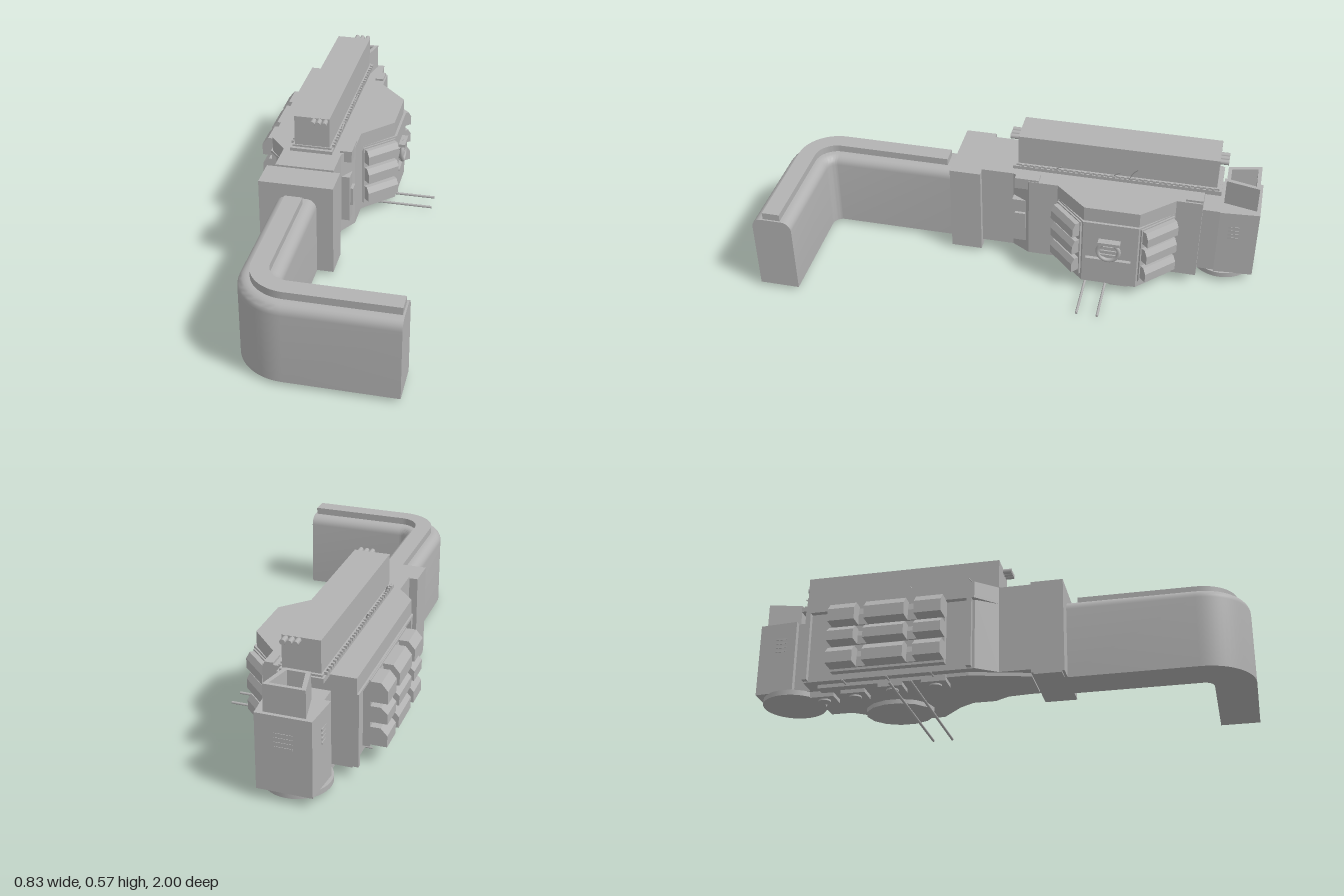
import * as THREE from 'three';
import { toCreasedNormals } from 'three/addons/utils/BufferGeometryUtils.js';

const hull = new THREE.MeshStandardMaterial({ color: 0xb2b2b2, side: THREE.DoubleSide });
hull.name = 'hull grey';

export function createModel() {
  const root = new THREE.Group();

  const add = (name, geo, parent = root) => {
    const m = new THREE.Mesh(geo, hull);
    m.name = name;
    parent.add(m);
    return m;
  };
  // Box given by its limits on each axis
  const box = (name, x0, x1, y0, y1, z0, z1, parent = root) => {
    const m = add(name, new THREE.BoxGeometry(x1 - x0, y1 - y0, z1 - z0), parent);
    m.position.set((x0 + x1) / 2, (y0 + y1) / 2, (z0 + z1) / 2);
    return m;
  };
  // Floor plan of [x, z] points raised from y0 to y1
  const outline = (pts) => pts.map(([x, z]) => new THREE.Vector2(x, -z));
  const slab = (name, pts, y0, y1, hole) => {
    const s = new THREE.Shape(outline(pts));
    if (hole) s.holes.push(new THREE.Path(outline(hole)));
    const g = new THREE.ExtrudeGeometry(s, { depth: y1 - y0, bevelEnabled: false });
    g.rotateX(-Math.PI / 2);
    g.translate(0, y0, 0);
    return add(name, g);
  };
  const cyl = (name, r, len, x, y, z, axis, sides = 24, parent = root) => {
    const g = new THREE.CylinderGeometry(r, r, len, sides);
    if (axis === 'x') g.rotateZ(Math.PI / 2);
    if (axis === 'z') g.rotateX(Math.PI / 2);
    const m = add(name, g, parent);
    m.position.set(x, y, z);
    return m;
  };

  // Sweep of a convex [offset, y] profile along the L-shaped corridor
  const sweep = (name, profile, zStart, xEnd) => {
    const st = [[-0.145, zStart, -1, 0]];
    for (let i = 0; i <= 16; i++) {
      const t = (i / 16) * Math.PI / 2, c = -Math.cos(t), s = Math.sin(t);
      st.push([-0.02 + 0.125 * c, 0.79 + 0.125 * s, c, s]);
    }
    st.push([xEnd, 0.915, 0, 1]);
    const n = profile.length, pos = [], idx = [];
    st.forEach(([x, z, nx, nz]) => profile.forEach(([u, y]) => pos.push(x + nx * u, y, z + nz * u)));
    for (let i = 0; i < st.length - 1; i++) {
      for (let j = 0; j < n; j++) {
        const k = (j + 1) % n, a = i * n + j, b = i * n + k;
        idx.push(a, a + n, b + n, a, b + n, b);
      }
    }
    const e = (st.length - 1) * n;
    for (let j = 1; j < n - 1; j++) idx.push(0, j, j + 1, e, e + j + 1, e + j);
    const g = new THREE.BufferGeometry();
    g.setAttribute('position', new THREE.Float32BufferAttribute(pos, 3));
    g.setIndex(idx);
    add(name, toCreasedNormals(g, 0.6));
  };

  // Corridor with rounded shoulders and a raised roof strip
  const prof = [[-0.082, 0.015], [0.082, 0.015]];
  for (let i = 0; i <= 12; i++) {
    const t = (i / 12) * Math.PI, c = Math.cos(t);
    const side = i < 6 ? 1 : -1;
    if (i === 6) prof.push([0.042, 0.35], [-0.042, 0.35]);
    else prof.push([side * 0.042 + 0.04 * c, 0.31 + 0.04 * Math.sin(t)]);
  }
  sweep('corridor', prof, 0.27, 0.415);
  sweep('corridorRoofStrip', [[-0.036, 0.34], [0.036, 0.34], [0.036, 0.38], [-0.036, 0.38]], 0.32, 0.408);

  // Collar and neck
  box('collar', -0.3, 0.005, 0.015, 0.408, 0.15, 0.28);
  box('collarFoot', -0.3, -0.245, 0.008, 0.016, 0.16, 0.27);

  // Main hull: lower walls and a wider upper band
  const plan = (left, tip) => [
    [-0.265, 0.15], [-0.265, 0.015], [left, -0.07], [left, -0.77], [-0.24, -0.77], [-0.24, -0.86],
    [-0.03, -0.86], [-0.03, -0.77], [0.022, -0.77], [0.022, -0.665], [tip, -0.535],
    [tip, -0.31], [0.022, -0.18], [0.022, -0.06], [-0.022, 0.015], [-0.022, 0.15]];
  slab('lowerHull', plan(-0.322, 0.15), 0.045, 0.35);
  slab('upperHull', plan(-0.337, 0.142).filter(([, z]) => z > -0.8), 0.35, 0.416);
  slab('hullTrim', plan(-0.345, 0.153).filter(([, z]) => z > -0.8), 0.342, 0.352);
  slab('keel', [[-0.23, 0.14], [-0.29, -0.1], [-0.29, -0.72], [-0.05, -0.72], [0.1, -0.5], [0.1, -0.34], [-0.04, -0.1], [-0.06, 0.14]], 0.03, 0.046);
  box('sideFairing', -0.345, -0.3, 0.05, 0.35, -0.1, -0.08);
  box('sideFairing', -0.345, -0.3, 0.05, 0.35, -0.77, -0.75);
  box('roofLocker', -0.03, 0.02, 0.375, 0.425, -0.1, 0.0);
  box('roofLocker', -0.02, 0.015, 0.35, 0.425, -0.77, -0.7);

  // Raised spine on the roof
  box('spineBase', -0.235, -0.058, 0.41, 0.43, -0.835, 0.025);
  box('spineStep', -0.228, -0.064, 0.43, 0.438, -0.825, 0.01);
  box('spine', -0.22, -0.072, 0.43, 0.568, -0.815, 0.005);
  for (let i = 0; i < 34; i++) {
    const z = -0.8 + i * 0.0237;
    for (const x of [-0.233, -0.06]) box('spineTooth', x - 0.006, x + 0.006, 0.43, 0.442, z - 0.005, z + 0.005);
  }
  for (const x of [-0.137, -0.113, -0.088]) {
    cyl('spineTube', 0.011, 0.04, x, 0.557, 0.02, 'z', 8);
    cyl('spineTube', 0.011, 0.04, x, 0.557, -0.83, 'z', 8);
  }
  // Curved whisker aerials on both sides of the spine
  const whiskers = [[-1, -0.08, 0.05], [-1, -0.33, 0.04], [-1, -0.78, 0.03], [1, -0.15, 0.03], [1, -0.39, 0.04], [1, -0.46, 0.07]];
  for (const [s, z, h] of whiskers) {
    const x = s < 0 ? -0.23 : -0.062;
    const c = new THREE.QuadraticBezierCurve3(new THREE.Vector3(x, 0.425, z),
      new THREE.Vector3(x + s * 0.004, 0.43 + h * 0.6, z - 0.01), new THREE.Vector3(x + s * h * 0.4, 0.43 + h, z - 0.035));
    add('whisker', new THREE.TubeGeometry(c, 8, 0.0025, 5));
  }

  // Tail block with vents and an open hopper
  slab('tailBlock', [[-0.252, -1], [-0.037, -1], [-0.025, -0.84], [-0.265, -0.84]], 0.04, 0.35);
  slab('hopper', [[-0.225, -0.985], [-0.065, -0.985], [-0.095, -0.85], [-0.195, -0.85]], 0.35, 0.46,
    [[-0.205, -0.97], [-0.085, -0.97], [-0.11, -0.865], [-0.18, -0.865]]);
  for (let i = 0; i < 4; i++) {
    const y = 0.22 + i * 0.018;
    box('tailVent', -0.262, -0.028, y, y + 0.008, -0.925, -0.86);
    box('tailVent', -0.18, -0.11, y, y + 0.008, -1.002, -0.99);
  }
  cyl('tailDisc', 0.13, 0.022, -0.148, 0.031, -0.868, 'y', 40);

  // Chamfered pod pointing along its local x
  const pod = (name, len, d, h, parent) => {
    const s = new THREE.Shape([[0, 0], [d, 0], [d, h * 0.62], [d * 0.66, h], [0, h]].map((p) => new THREE.Vector2(...p)));
    const g = new THREE.ExtrudeGeometry(s, { depth: len, bevelEnabled: false });
    g.translate(0, 0, -len / 2);
    return add(name, g, parent);
  };

  // Three by three bank of pods on the right-hand side
  const bank = new THREE.Group();
  bank.name = 'podBank';
  root.add(bank);
  box('podBacking', -0.35, -0.31, 0.07, 0.35, -0.65, -0.185, bank);
  for (const [y, h] of [[0.08, 0.076], [0.177, 0.066], [0.262, 0.083]]) {
    for (const [z, len] of [[-0.595, 0.11], [-0.418, 0.165], [-0.24, 0.11]]) {
      const p = pod('sidePod', len, 0.077, h, bank);
      p.rotation.y = Math.PI;
      p.position.set(-0.34, y, z);
    }
    const link = pod('podLink', 0.44, 0.02, h * 0.9, bank);
    link.rotation.y = Math.PI;
    link.position.set(-0.338, y, -0.418);
  }
  for (const z of [-0.6, -0.42, -0.24]) cyl('podPin', 0.004, 0.05, -0.32, 0.035, z, 'x', 6);

  // Louvres on the two angled faces
  for (const s of [1, -1]) {
    const g = new THREE.Group();
    g.name = 'angledLouvres';
    g.position.set(0.086, 0, -0.4225 + s * 0.1775);
    g.rotation.y = -s * Math.PI / 4;
    root.add(g);
    box('louvreBacking', -0.01, 0.008, 0.075, 0.345, -0.083, 0.083, g);
    for (const y of [0.095, 0.187, 0.275]) pod('louvre', 0.155, 0.042, 0.064, g).position.y = y;
  }

  // Round port with ring, crossbar and ledge on the flat face
  const ring = add('portRing', new THREE.TorusGeometry(0.043, 0.009, 8, 32));
  ring.rotation.y = Math.PI / 2;
  ring.position.set(0.165, 0.225, -0.418);
  cyl('portGlass', 0.043, 0.02, 0.152, 0.225, -0.418, 'x', 32);
  for (const y of [0.205, 0.225, 0.245]) box('portBar', 0.15, 0.168, y - 0.005, y + 0.005, -0.456, -0.38);
  box('portHood', 0.15, 0.178, 0.262, 0.275, -0.465, -0.375);
  box('portLedge', 0.145, 0.165, 0.17, 0.178, -0.51, -0.325);

  // Side hatch near the neck
  box('hatchFrame', -0.03, 0.014, 0.1, 0.31, -0.052, 0.012);
  box('hatchStep', -0.02, 0.026, 0.17, 0.25, -0.045, 0.0);

  // Underside: rounded plate, equipment boxes and long rods
  const plate = cyl('bellyPlate', 0.12, 0.022, 0.0, 0.022, -0.46, 'y', 14);
  plate.scale.z = 1.2;
  for (const [x, z] of [[-0.215, -0.585], [-0.26, -0.24], [-0.2, -0.72], [-0.25, -0.42]]) {
    box('bellyBox', x - 0.04, x + 0.04, 0.014, 0.04, z - 0.05, z + 0.05);
    cyl('bellyCap', 0.025, 0.01, x, 0.012, z, 'y', 16);
  }
  for (const z of [-0.405, -0.32]) cyl('rod', 0.0055, 0.665, -0.0175, 0.0055, z, 'x', 8);

  return root;
}
